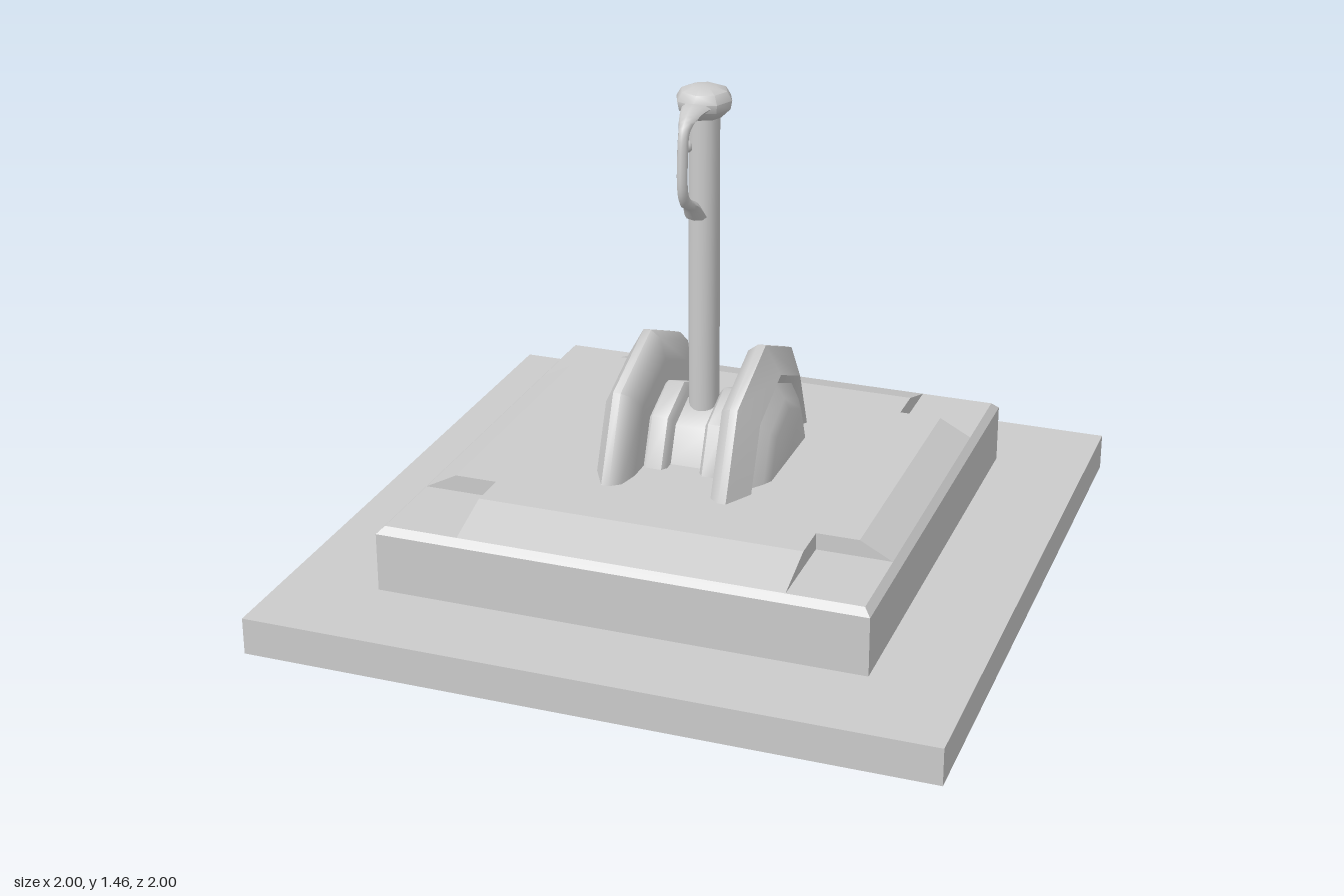
import * as THREE from 'three';
import { toCreasedNormals } from 'three/addons/utils/BufferGeometryUtils.js';

const grey = new THREE.MeshStandardMaterial({ color: 0xcccccc });
const thin = new THREE.MeshStandardMaterial({ color: 0xcccccc, side: THREE.DoubleSide });
const AXLE_Y = 0.355;

function createMesh(name, geometry, material = grey) {
  const m = new THREE.Mesh(geometry, material);
  m.name = name;
  return m;
}

const vec2 = (list) => list.map(([a, b]) => new THREE.Vector2(a, b));

// Profile in x/y, extruded along z and centred on it
function prism(profile, depth) {
  const g = new THREE.ExtrudeGeometry(new THREE.Shape(vec2(profile)), { depth, bevelEnabled: false });
  return g.translate(0, 0, -depth / 2);
}

// Half octagon turned about the x axle; points are [x, radius] with x rising
function halfTurned(points) {
  const g = new THREE.LatheGeometry(vec2(points.map(([x, r]) => [r, x])), 4, Math.PI, Math.PI);
  g.rotateZ(-Math.PI / 2).translate(0, AXLE_Y, 0);
  return toCreasedNormals(g, 0.82);
}

// The same profile on the other side of the model
const mirrored = (points) => points.map(([x, r]) => [-x, r]).reverse();

// Four-sided block with its own bottom and top half widths
function block(bottom, top, y0, y1) {
  const g = new THREE.CylinderGeometry(top * Math.SQRT2, bottom * Math.SQRT2, y1 - y0, 4);
  g.rotateY(Math.PI / 4).translate(0, (y0 + y1) / 2, 0);
  return toCreasedNormals(g, 0.3);
}

function createPlinth() {
  const plinth = new THREE.Group();
  plinth.name = 'plinth';
  plinth.add(createMesh('groundSlab', block(1, 1, 0, 0.11)));
  plinth.add(createMesh('plinthBody', block(0.72, 0.72, 0.11, 0.285)));
  plinth.add(createMesh('plinthChamfer', block(0.72, 0.7, 0.285, 0.305)));
  // Raised cross whose sloped arms leave a notch at each corner
  const span = prism([[-0.7, 0.3], [0.7, 0.3], [0.7, 0.305], [0.545, 0.355], [-0.545, 0.355], [-0.7, 0.305]], 0.96);
  plinth.add(createMesh('raisedDeck', span.rotateY(Math.PI / 2)));
  for (const side of [1, -1]) {
    const arm = prism([[0.48, 0.3], [0.7, 0.3], [0.7, 0.305], [0.605, 0.355], [0.48, 0.355]], 0.86);
    if (side < 0) arm.rotateY(Math.PI);
    plinth.add(createMesh('sideDeck', arm));
  }
  return plinth;
}

function createPivot() {
  const pivot = new THREE.Group();
  pivot.name = 'pivot';
  pivot.add(createMesh('axleBarrel', halfTurned([[-0.06, 0.15], [0.06, 0.15]]), thin));
  const collar = [[0.05, 0], [0.05, 0.18], [0.062, 0.197], [0.11, 0.197], [0.125, 0.18]];
  // Thick cheek: rounded rim, recessed outer face, stepped boss
  const cheek = [[0.12, 0], [0.12, 0.26], [0.135, 0.325], [0.165, 0.348], [0.188, 0.348],
    [0.235, 0.262], [0.215, 0.235], [0.247, 0.19], [0.262, 0.16], [0.262, 0]];
  for (const flip of [(p) => p, mirrored]) {
    pivot.add(createMesh('collar', halfTurned(flip(collar)), thin));
    pivot.add(createMesh('cheek', halfTurned(flip(cheek)), thin));
  }
  return pivot;
}

// Bent tube, widened sideways at the knob and at the free end
function createGrip() {
  const path = new THREE.CatmullRomCurve3([
    [0.04, 1.415], [0.11, 1.41], [0.16, 1.38], [0.178, 1.29],
    [0.175, 1.2], [0.152, 1.165], [0.11, 1.142], [0.072, 1.1],
  ].map(([z, y]) => new THREE.Vector3(0, y, z)));
  const rings = 28, sides = 8;
  const g = new THREE.TubeGeometry(path, rings, 0.016, sides);
  const pos = g.attributes.position;
  for (let i = 0; i < pos.count; i++) {
    const t = Math.floor(i / (sides + 1)) / rings;
    const widen = 1 + 2 * Math.max(0, 1 - t / 0.3) + 1.1 * Math.max(0, (t - 0.75) / 0.25);
    pos.setX(i, pos.getX(i) * widen);
  }
  g.computeVertexNormals();
  return createMesh('grip', toCreasedNormals(g, 1), thin);
}

function createLever() {
  const lever = new THREE.Group();
  lever.name = 'lever';
  const shaft = new THREE.CylinderGeometry(0.045, 0.045, 0.98, 16).translate(0, 0.9, 0);
  lever.add(createMesh('shaft', toCreasedNormals(shaft, 0.8)));
  const knob = new THREE.LatheGeometry(vec2([[0, 1.37], [0.05, 1.373], [0.078, 1.4],
    [0.083, 1.425], [0.068, 1.45], [0.035, 1.462], [0, 1.464]]), 8);
  lever.add(createMesh('knob', toCreasedNormals(knob, 0.82)));
  lever.add(createGrip());
  // Small stud beside the grip
  const stud = new THREE.SphereGeometry(0.019, 10, 8).translate(-0.04, 1.29, 0.035);
  lever.add(createMesh('stud', stud));
  return lever;
}

export function createModel() {
  const model = new THREE.Group();
  model.name = 'leverOnPlinth';
  model.add(createPlinth(), createPivot(), createLever());
  return model;
}
